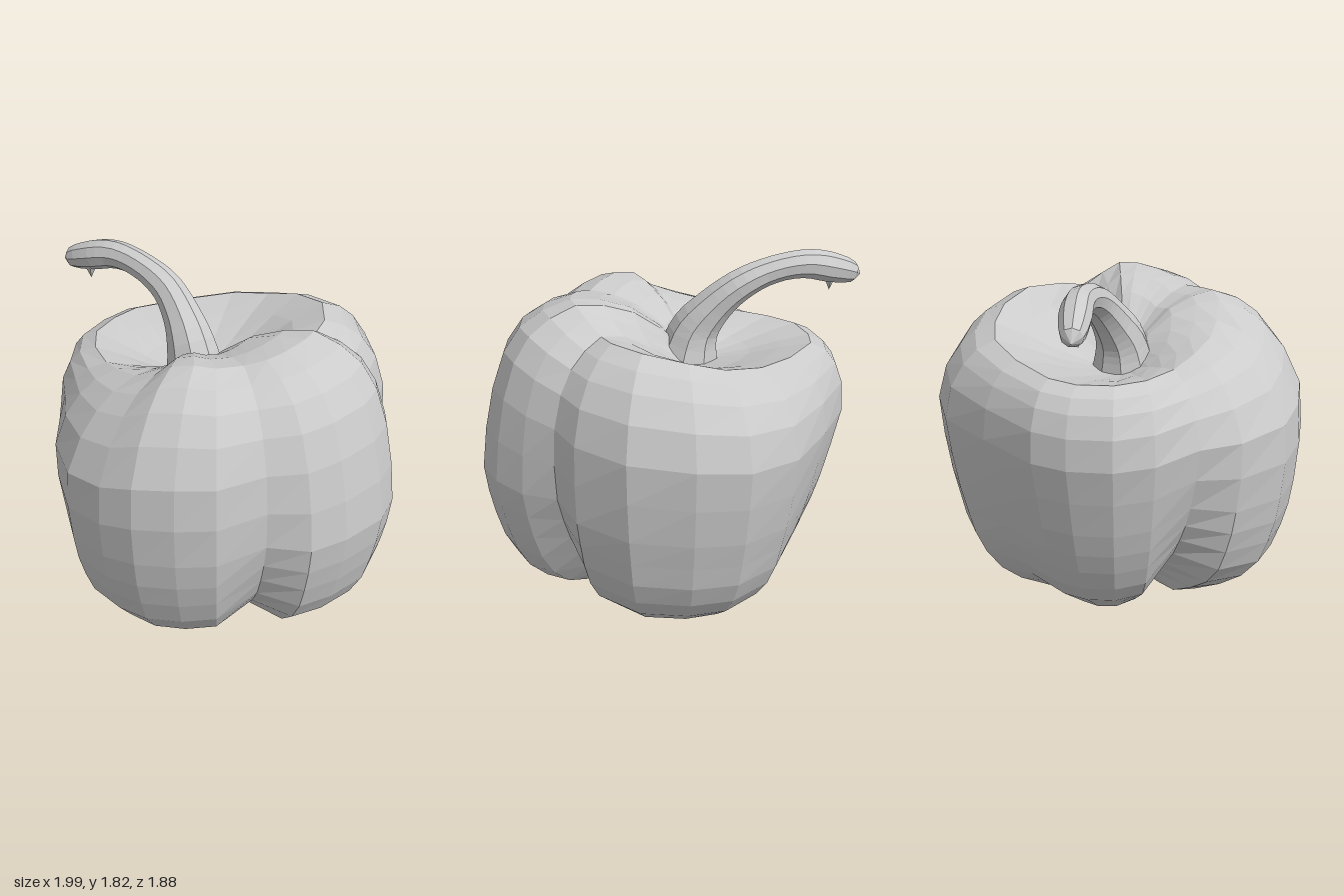
import * as THREE from 'three';

const material = new THREE.MeshStandardMaterial({ color: 0xcccccc, flatShading: true, side: THREE.DoubleSide });
const { lerp } = THREE.MathUtils;

// Columns round the fruit: widest x, widest z, shoulder height, floor height
const COLUMNS = [
  [0.99, -0.08, 1.64, 0.1], [0.95, 0.16, 1.62, 0.1], [0.87, 0.34, 1.6, 0.1],
  [0.72, 0.49, 1.575, 0.16], [0.58, 0.71, 1.585, 0.08], [0.42, 0.83, 1.6, 0.04],
  [0.23, 0.92, 1.58, 0.02], [0.04, 0.94, 1.5, 0.03], [-0.2, 0.91, 1.45, 0.04],
  [-0.45, 0.74, 1.41, 0.08], [-0.6, 0.56, 1.37, 0.19], [-0.76, 0.38, 1.36, 0.07],
  [-0.86, 0.2, 1.36, 0.04], [-0.885, -0.02, 1.36, 0.03], [-0.86, -0.2, 1.37, 0.04],
  [-0.69, -0.5, 1.39, 0.08], [-0.48, -0.78, 1.42, 0.015], [-0.22, -0.92, 1.45, 0],
  [0.05, -0.945, 1.5, 0], [0.37, -0.88, 1.54, 0.02], [0.6, -0.69, 1.54, 0.08],
  [0.69, -0.52, 1.53, 0.17], [0.83, -0.4, 1.59, 0.11], [0.94, -0.26, 1.64, 0.1],
];

// Wall from floor to crest: height fraction, then radius fraction on the +x, +z, -z and -x sides
const WALL = [
  [0, 0.47, 0.48, 0.43, 0.45], [0.045, 0.75, 0.64, 0.62, 0.54], [0.1, 0.845, 0.77, 0.73, 0.66],
  [0.175, 0.91, 0.87, 0.82, 0.74], [0.26, 0.95, 0.92, 0.88, 0.8], [0.345, 0.98, 0.957, 0.91, 0.85],
  [0.44, 1, 0.98, 0.945, 0.895], [0.58, 0.975, 1, 0.98, 0.95], [0.72, 0.93, 0.985, 1, 1],
  [0.84, 0.865, 0.89, 0.95, 0.995], [0.92, 0.78, 0.78, 0.865, 0.955], [0.97, 0.66, 0.67, 0.78, 0.9],
  [1, 0.52, 0.53, 0.67, 0.81],
];
const UNDER = [[0, 0.17], [0.35, 0.13], [0.7, 0.03]]; // hollow underneath: radius fraction, rise above the floor
const PIT = [[0.76, 0.72, 0.95], [0.5, 0.35, 0.8], [0.25, 0.1, 0.5], [0, 0, 0]]; // radius fraction, hollow and full heights
const PIT_CENTRE = [-0.1, 1.25, 0.05];

// Share of the +x, +z, -z and -x sides in a column's direction
function sideWeights([x, z]) {
  const r2 = x * x + z * z;
  return [x > 0 ? x * x : 0, z > 0 ? z * z : 0, z < 0 ? z * z : 0, x < 0 ? x * x : 0].map(w => w / r2);
}

function buildRings() {
  const wall = WALL.map(([t, ...sides]) => COLUMNS.map(c => {
    const blend = sideWeights(c).reduce((sum, w, i) => sum + w * sides[i], 0);
    const furrow = 1 - 2.5 * Math.max(0, c[3] - 0.1) * Math.pow(1 - t, 3); // furrows cut in near the base
    return [c[0] * blend * furrow, lerp(c[3], c[2], t), c[1] * blend * furrow];
  }));
  const under = UNDER.map(([f, rise]) => wall[0].map(p => [p[0] * f, p[1] * f + rise, p[2] * f]));
  const crest = wall[wall.length - 1];
  const pit = PIT.map(([f, hollow, full]) => crest.map((p, j) => {
    // the +x and +z lobes carry a full plateau, the others fall away steeply
    const weights = sideWeights(COLUMNS[j]);
    const h = lerp(hollow, full, weights[0] + weights[1]);
    return [lerp(PIT_CENTRE[0], p[0], f), lerp(PIT_CENTRE[1], p[1], h), lerp(PIT_CENTRE[2], p[2], f)];
  }));
  return [...under, ...wall, ...pit];
}

function bodyGeometry() {
  const rings = buildRings();
  const n = COLUMNS.length;
  const index = [];
  for (let i = 0; i < rings.length - 1; i++) {
    for (let j = 0; j < n; j++) {
      const k = (j + 1) % n;
      const a = i * n + j, b = a + n, c = (i + 1) * n + k, d = i * n + k;
      // the first and last rings are single points and need one triangle per column
      if (i > 0) index.push(a, b, d);
      if (i < rings.length - 2) index.push(b, c, d);
    }
  }
  const geometry = new THREE.BufferGeometry();
  geometry.setAttribute('position', new THREE.Float32BufferAttribute(rings.flat(2), 3));
  geometry.setIndex(index);
  geometry.computeVertexNormals();
  return geometry;
}

// Tube whose radius follows a list of values along its length and closes at the far end
function taperedTube(points, radii, segments, sides) {
  const curve = new THREE.CatmullRomCurve3(points.map(p => new THREE.Vector3(...p)));
  const geometry = new THREE.TubeGeometry(curve, segments, 1, sides);
  const position = geometry.attributes.position;
  const v = new THREE.Vector3();
  for (let i = 0; i <= segments; i++) {
    const centre = curve.getPointAt(i / segments);
    const u = (i / segments) * (radii.length - 1);
    const k = Math.min(Math.floor(u), radii.length - 2);
    const r = i === segments ? 0 : lerp(radii[k], radii[k + 1], u - k);
    for (let j = 0; j <= sides; j++) {
      const id = i * (sides + 1) + j;
      v.fromBufferAttribute(position, id).sub(centre).multiplyScalar(r).add(centre);
      position.setXYZ(id, v.x, v.y, v.z);
    }
  }
  geometry.computeVertexNormals();
  return geometry;
}

export function createModel() {
  const model = new THREE.Group();
  model.name = 'bellPepper';
  const add = (name, geometry) => {
    const mesh = new THREE.Mesh(geometry, material);
    mesh.name = name;
    model.add(mesh);
    return mesh;
  };

  add('body', bodyGeometry());

  // Curved stem rising from the pit and bending over to the side
  add('stem', taperedTube(
    [[-0.09, 1.24, 0.05], [-0.13, 1.41, 0.04], [-0.21, 1.53, 0.01], [-0.34, 1.65, -0.02],
      [-0.5, 1.72, -0.02], [-0.68, 1.742, -0.01], [-0.85, 1.7, 0.02], [-1.0, 1.65, 0.05]],
    [0.17, 0.14, 0.12, 0.1, 0.088, 0.08, 0.072, 0.07, 0.074, 0.08, 0.07, 0.04], 24, 9));

  // Small spur under the stem tip
  const spur = add('stemSpur', new THREE.ConeGeometry(0.045, 0.1, 5));
  spur.position.set(-0.83, 1.63, 0.03);
  spur.rotation.x = Math.PI;

  return model;
}
